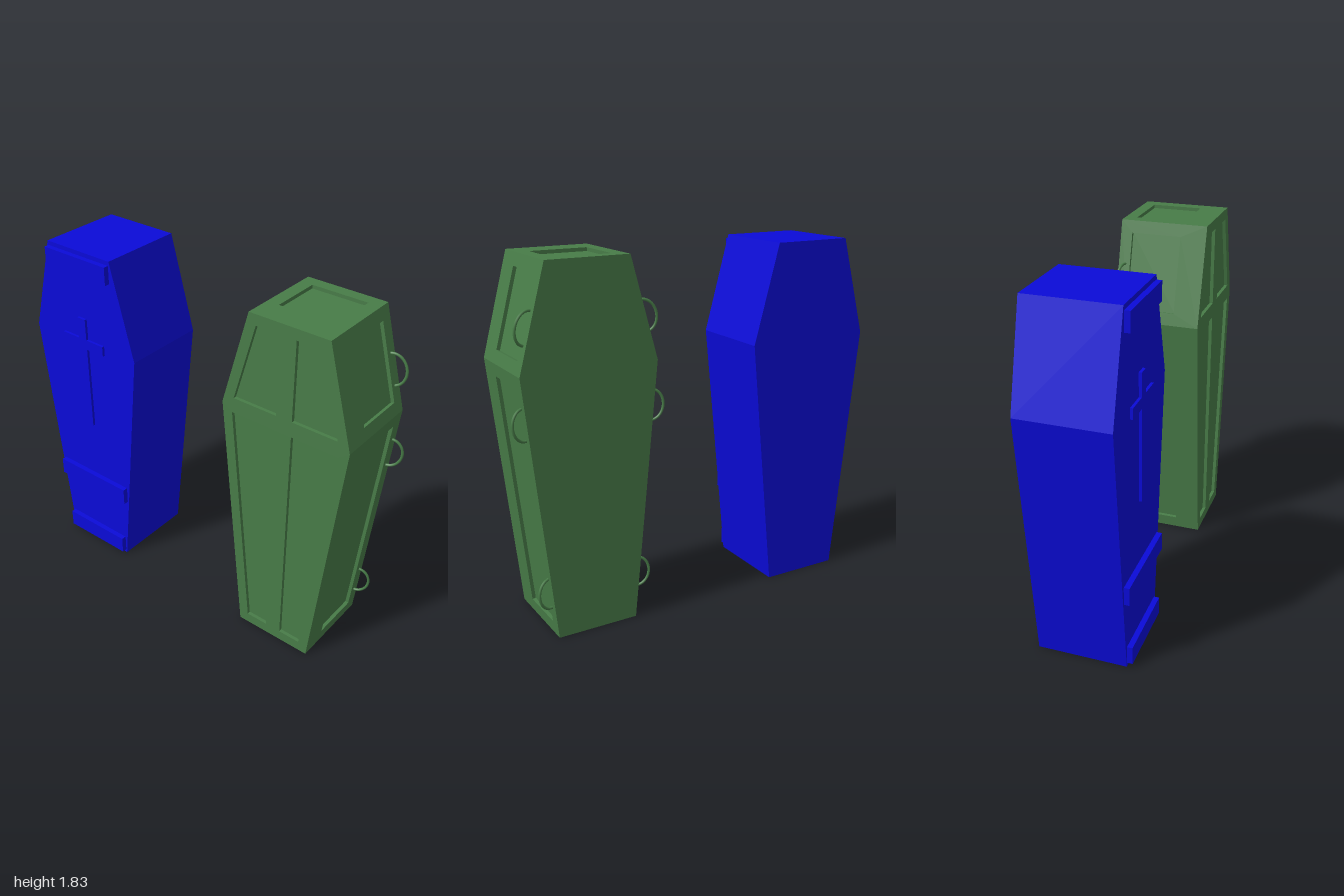
import * as THREE from 'three';
import { mergeGeometries } from 'three/addons/utils/BufferGeometryUtils.js';

const BACK = -0.243, FRONT = 0.215;
const HEX = [[-0.21, 0], [0.21, 0], [0.347, 1.32], [0.21, 1.825], [-0.21, 1.825], [-0.347, 1.32]];
const vecs = pts => pts.map(p => new THREE.Vector2(...p));
const rect = (x0, y0, x1, y1) => [[x0, y0], [x1, y0], [x1, y1], [x0, y1]];

// Half width of the outline at a given height
const halfWidth = y => (y < 1.32 ? 0.21 + 0.137 * y / 1.32 : 0.347 - 0.137 * (y - 1.32) / 0.505);

function addMesh(parent, name, geometry, material) {
  const mesh = new THREE.Mesh(geometry, material);
  mesh.name = name;
  parent.add(mesh);
  return mesh;
}

// Flat face with sunken panels: holed surface, panel floors and the walls between
function panelledFace(outline, panels, matrix, depth = 0.018) {
  const face = new THREE.Shape(vecs(outline));
  const parts = [];
  const walls = [];
  for (const panel of panels) {
    const pts = vecs(panel);
    if (THREE.ShapeUtils.isClockWise(pts)) pts.reverse();
    face.holes.push(new THREE.Path(pts));
    parts.push(new THREE.ShapeGeometry(new THREE.Shape(pts)).translate(0, 0, -depth));
    pts.forEach((a, i) => {
      const b = pts[(i + 1) % pts.length];
      walls.push(a.x, a.y, 0, b.x, b.y, 0, a.x, a.y, -depth);
      walls.push(b.x, b.y, 0, b.x, b.y, -depth, a.x, a.y, -depth);
    });
  }
  parts.push(new THREE.ShapeGeometry(face));
  const flat = parts.map(g => {
    const n = g.toNonIndexed();
    n.deleteAttribute('uv');
    n.deleteAttribute('normal');
    return n;
  });
  if (walls.length) {
    const g = new THREE.BufferGeometry();
    g.setAttribute('position', new THREE.Float32BufferAttribute(walls, 3));
    flat.push(g);
  }
  const merged = mergeGeometries(flat).applyMatrix4(matrix);
  merged.computeVertexNormals();
  return merged;
}

function plainCoffin() {
  const group = new THREE.Group();
  group.name = 'plainCoffin';
  const material = new THREE.MeshStandardMaterial({ color: 0x0a0ad8 });

  const body = new THREE.ExtrudeGeometry(new THREE.Shape(vecs(HEX)), { depth: FRONT - BACK, bevelEnabled: false });
  addMesh(group, 'body', body.translate(0, 0, BACK), material);

  // Raised cross on the lid
  const cross = new THREE.Shape(vecs([
    [-0.027, 0.82], [0.027, 0.82], [0.027, 1.29], [0.14, 1.29], [0.14, 1.345], [0.027, 1.345],
    [0.027, 1.462], [-0.027, 1.462], [-0.027, 1.345], [-0.14, 1.345], [-0.14, 1.29], [-0.027, 1.29],
  ]));
  const crossGeometry = new THREE.ExtrudeGeometry(cross, { depth: 0.02, bevelEnabled: false });
  addMesh(group, 'cross', crossGeometry.translate(0, 0, FRONT - 0.006), material);

  // Planks across the lid
  for (const [name, width, y] of [['bottomPlank', 0.41, 0.068], ['lowerPlank', 0.482, 0.438], ['topPlank', 0.41, 1.755]]) {
    const plank = addMesh(group, name, new THREE.BoxGeometry(width, 0.095, 0.034), material);
    plank.position.set(0, y, 0.226);
  }
  return group;
}

function panelledCoffin() {
  const group = new THREE.Group();
  group.name = 'panelledCoffin';
  const material = new THREE.MeshStandardMaterial({ color: 0x487c48 });

  // Lid with four panels mirrored about a centre stile
  const lidPanels = [];
  for (const s of [-1, 1]) {
    lidPanels.push([[s * 0.043, 1.36], [s * 0.282, 1.36], [s * 0.17, 1.77], [s * 0.043, 1.77]]);
    lidPanels.push([[s * 0.043, 0.055], [s * 0.162, 0.055], [s * 0.29, 1.28], [s * 0.043, 1.28]]);
  }
  addMesh(group, 'lid', panelledFace(HEX, lidPanels, new THREE.Matrix4().makeTranslation(0, 0, FRONT)), material);
  const turn = new THREE.Matrix4().makeRotationY(Math.PI).setPosition(0, 0, BACK);
  addMesh(group, 'back', panelledFace(HEX, [], turn), material);

  // Six side walls, each with one panel
  const names = ['bottomEnd', 'leftLowerSide', 'leftUpperSide', 'topEnd', 'rightUpperSide', 'rightLowerSide'];
  HEX.forEach(([x, y], i) => {
    const next = HEX[(i + 1) % HEX.length];
    const along = new THREE.Vector3(next[0] - x, next[1] - y, 0);
    const length = along.length();
    along.normalize();
    const across = new THREE.Vector3(0, 0, 1);
    const out = along.clone().cross(across);
    const matrix = new THREE.Matrix4().makeBasis(along, across, out).setPosition(x, y, 0);
    const panel = rect(0.064, -0.182, length - 0.064, 0.08);
    addMesh(group, names[i], panelledFace(rect(0, BACK, length, FRONT), [panel], matrix), material);
  });

  // Three curved handles on each side
  for (const s of [-1, 1]) {
    for (const [name, y] of [['UpperHandle', 1.53], ['MiddleHandle', 1.092], ['LowerHandle', 0.23]]) {
      const low = new THREE.Vector3(s * halfWidth(y - 0.077), y - 0.077, -0.207);
      const high = new THREE.Vector3(s * halfWidth(y + 0.077), y + 0.077, -0.207);
      const middle = low.clone().lerp(high, 0.5);
      const chord = high.clone().sub(middle);
      const bulge = new THREE.Vector3(s * chord.y, -s * chord.x, 0).setLength(0.062);
      bulge.z = -0.018;
      const points = [];
      for (let k = 0; k <= 10; k++) {
        const a = Math.PI * (k / 10 - 0.5);
        points.push(middle.clone().addScaledVector(chord, Math.sin(a)).addScaledVector(bulge, Math.cos(a)));
      }
      const tube = new THREE.TubeGeometry(new THREE.CatmullRomCurve3(points), 24, 0.007, 8);
      addMesh(group, (s > 0 ? 'left' : 'right') + name, tube, material);
    }
  }
  return group;
}

export function createModel() {
  const model = new THREE.Group();
  model.name = 'coffinPair';
  const plain = plainCoffin();
  plain.position.x = -0.653;
  const panelled = panelledCoffin();
  panelled.position.x = 0.6;
  model.add(plain, panelled);
  return model;
}
